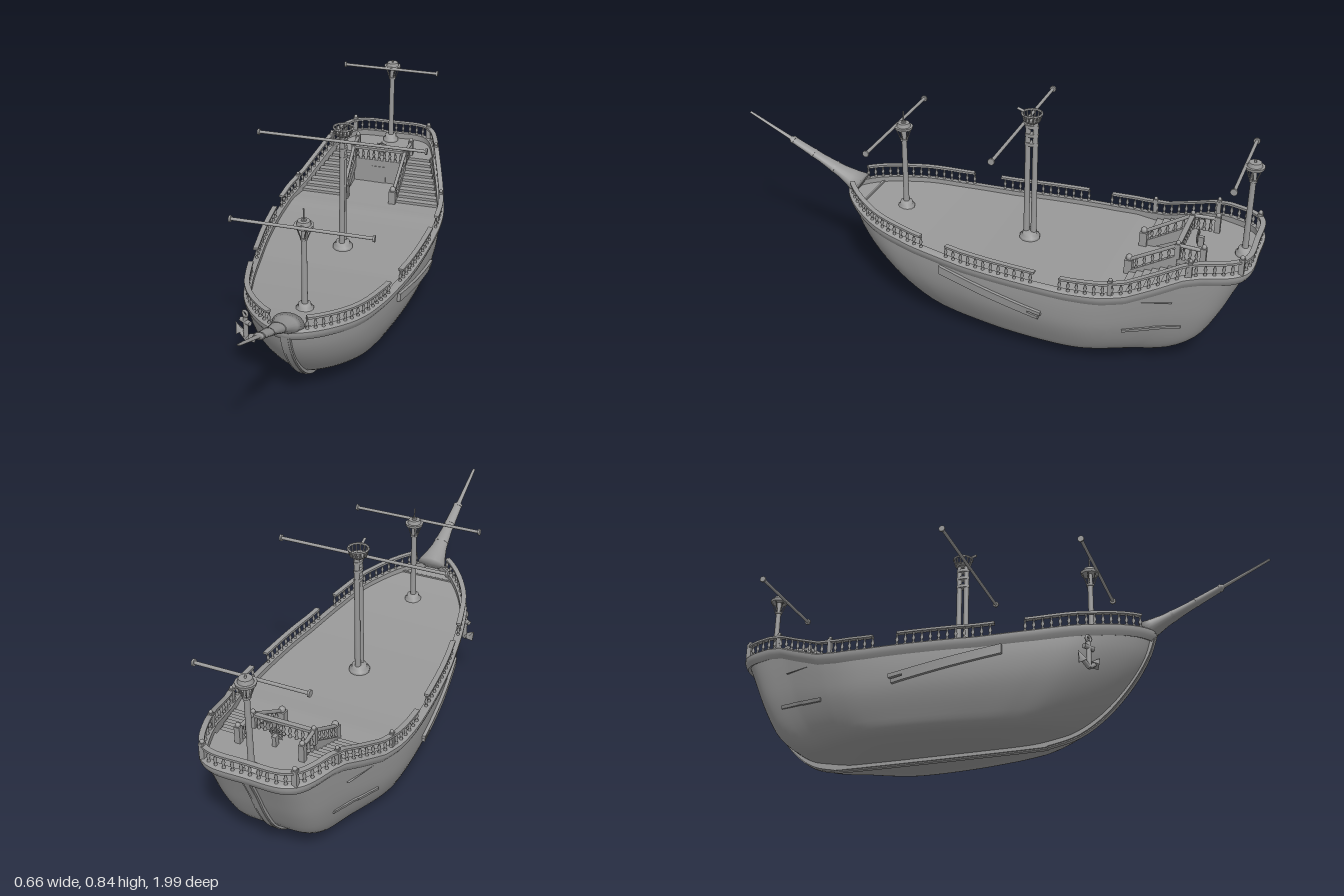
import * as THREE from 'three';
import { toCreasedNormals } from 'three/addons/utils/BufferGeometryUtils.js';

const V = (x, y, z) => new THREE.Vector3(x, y, z);
const material = new THREE.MeshStandardMaterial({ color: 0x999999, side: THREE.DoubleSide });

// Plan outline of the rim (half, bow to stern) and its height along z
const half = [[0, .57], [.06, .545], [.135, .475], [.208, .36], [.248, .23], [.277, .08], [.307, -.13], [.321, -.4],
  [.31, -.53], [.24, -.77], [.178, -.94], [.13, -.975], [0, -.98]];
const N = 240, ZB = .57, ZS = -.98, BOTTOM = .015;
const loop = [...half, ...half.slice(1, -1).reverse().map(([x, z]) => [-x, z])];
const outline = new THREE.CatmullRomCurve3(loop.map(([x, z]) => V(x, 0, z)), true).getSpacedPoints(N).slice(0, N);

function table(rows, key) {
  for (let i = 1; i < rows.length; i++) {
    const [a, p] = rows[i - 1], [b, q] = rows[i];
    if (key >= b) return p + (q - p) * Math.min(1, Math.max(0, (key - a) / (b - a)));
  }
  return rows[rows.length - 1][1];
}
const rimY = z => table([[.57, .395], [.4, .365], [.2, .342], [0, .328], [-.4, .326], [-.52, .332], [-.6, .345],
  [-.7, .385], [-.78, .42], [-.84, .432], [-1, .436]], z);
const rimX = z => table(outline.slice(0, N / 2 + 1).map(p => [p.z, Math.abs(p.x)]), z);

// Hull levels: height fraction, width factor, bow z, stern z
const levels = [[1, 1, .57, -.98], [.75, .99, .54, -.935], [.5, .95, .478, -.89], [.25, .85, .385, -.83],
  [.09, .745, .285, -.74], [.035, .53, .2, -.65], [0, 0, .12, -.56]];
const heightCurve = new THREE.CatmullRomCurve3(levels.map(l => V(l[0], 0, 0)), false, 'catmullrom');
const shapeCurve = new THREE.CatmullRomCurve3(levels.map(l => V(l[1], l[2], l[3])), false, 'catmullrom');
function hullPoint(p, t) {
  const h = Math.max(0, heightCurve.getPoint(t).x), s = shapeCurve.getPoint(t);
  return V(p.x * s.x, BOTTOM + h * (rimY(p.z) - BOTTOM), s.z + (p.z - ZS) / (ZB - ZS) * (s.y - s.z));
}
function hullX(z, y) {
  const h = (y - BOTTOM) / (rimY(z) - BOTTOM);
  let t = 0;
  while (t < 1 && heightCurve.getPoint(t).x > h) t += .01;
  const s = shapeCurve.getPoint(Math.min(t, 1));
  return s.x * rimX(ZS + (z - s.z) / (s.y - s.z) * (ZB - ZS));
}

// Skin over rows of points; optional joined rows, joined columns and end caps
function loft(rows, { ring = false, tube = false } = {}) {
  const R = rows.length, C = rows[0].length, index = [];
  for (let i = 0; i < (ring ? R : R - 1); i++) for (let j = 0; j < (tube ? C : C - 1); j++) {
    const n = (i + 1) % R, k = (j + 1) % C;
    const a = i * C + j, b = i * C + k, c = n * C + j, d = n * C + k;
    index.push(a, b, c, b, d, c);
  }
  if (tube && !ring) for (let j = 1; j < C - 1; j++) {
    const e = (R - 1) * C;
    index.push(0, j + 1, j, e, e + j, e + j + 1);
  }
  const g = new THREE.BufferGeometry().setFromPoints(rows.flat());
  g.setIndex(index);
  g.computeVertexNormals();
  return g;
}
const rect = (o0, o1, y0, y1) => [[o1, y1], [o1, y0], [o0, y0], [o0, y1]];
function rimPoint(i, out, up) {
  const p = outline[i % N], d = outline[(i + 1) % N].clone().sub(outline[(i + N - 1) % N]).normalize();
  return V(p.x - d.z * out, rimY(p.z) + up, p.z + d.x * out);
}
function rimSweep(from, to, section) {
  const rows = [], ring = to - from >= N;
  for (let i = from; i <= (ring ? to - 1 : to); i++) rows.push(section.map(([o, u]) => rimPoint(i, o, u)));
  return toCreasedNormals(loft(rows, { ring, tube: true }), .8);
}

export function createModel() {
  const model = new THREE.Group();
  const add = (name, geometry, x = 0, y = 0, z = 0, parent = model) => {
    const m = new THREE.Mesh(geometry, material);
    m.name = name;
    m.position.set(x, y, z);
    parent.add(m);
    return m;
  };
  const group = (name, x = 0, y = 0, z = 0) => {
    const g = new THREE.Group();
    g.name = name;
    g.position.set(x, y, z);
    model.add(g);
    return g;
  };
  const box = (name, w, h, d, x, y, z, parent) => add(name, new THREE.BoxGeometry(w, h, d), x, y, z, parent);
  const cyl = (name, r1, r2, h, x, y, z, parent, n = 12) => add(name, new THREE.CylinderGeometry(r1, r2, h, n), x, y, z, parent);
  const bar = (name, a, b, r, parent, n = 8) => {
    const m = cyl(name, r, r, a.distanceTo(b), 0, 0, 0, parent, n);
    m.position.copy(a).add(b).multiplyScalar(.5);
    m.quaternion.setFromUnitVectors(V(0, 1, 0), b.clone().sub(a).normalize());
    return m;
  };

  // Hull, rim moulding and keel with a raised centre strip
  const ts = Array.from({ length: 25 }, (_, i) => i / 24);
  add('hull', loft(outline.map(p => ts.map(t => hullPoint(p, t))), { ring: true }));
  add('wale', rimSweep(0, N, [[.004, .006], [.011, 0], [.011, -.01], [.007, -.022], [-.002, -.036], [-.016, -.03], [-.016, .006]]));
  const keelLine = [[.58, .39], [.55, .305], [.487, .205], [.394, .105], [.292, .038], [.18, .01], [.1, .004],
    [-.55, .004], [-.66, .01], [-.749, .04], [-.839, .12], [-.899, .22], [-.944, .33], [-.986, .42], [-.95, .4], [-.6, .2], [.3, .2], [.54, .37]];
  const keelShape = new THREE.Shape(new THREE.SplineCurve(keelLine.slice(0, 14).map(([z, y]) => new THREE.Vector2(-z, y))).getPoints(52)
    .concat(keelLine.slice(14).map(([z, y]) => new THREE.Vector2(-z, y))));
  for (const [width, drop] of [[.034, 0], [.02, .004]]) {
    const g = new THREE.ExtrudeGeometry(keelShape, { depth: width, bevelEnabled: false });
    g.translate(0, -drop, -width / 2).rotateY(Math.PI / 2);
    add('keel', toCreasedNormals(g, .5));
  }

  // Main deck and raised quarterdeck
  const deck = (name, z0, z1, yAt) => add(name, loft(Array.from({ length: 41 }, (_, i) => {
    const z = z0 + (z1 - z0) * i / 40, x = Math.max(0, rimX(z) - .006);
    return [V(-x, yAt(z), z), V(x, yAt(z), z)];
  })));
  const QY = .418;
  deck('mainDeck', .555, -.75, z => z > -.5 ? rimY(z) - .012 : .316);
  deck('quarterDeck', -.81, -.975, () => QY);
  box('cabin', .22, QY - .3, .1, 0, (QY + .3) / 2, -.775);
  box('cabinDoor', .06, .075, .008, 0, .352, -.727);
  box('deckBeam', .23, .006, .008, 0, rimY(.49) - .01, .49);

  // Baluster rails along the rim
  const balusterShape = new THREE.LatheGeometry([[.006, 0], [.006, .006], [.003, .012], [.0065, .022], [.003, .036], [.005, .046]]
    .map(([r, y]) => new THREE.Vector2(r, y)), 7);
  const indexAt = z => outline.findIndex(p => p.z <= z);
  const rails = group('rimRails');
  const newel = (x, y, z, h, w, parent) => {
    box('newel', w, h, w, x, y + h / 2, z, parent);
    add('newelKnob', new THREE.SphereGeometry(w * .45, 10, 8), x, y + h + w * .25, z, parent);
  };
  const rail = (from, to) => {
    add('handrail', rimSweep(from, to, rect(-.012, .007, .047, .055)), 0, 0, 0, rails);
    for (let i = from; i <= to; i += 2) {
      const p = rimPoint(i, -.003, .003);
      add('baluster', balusterShape, p.x, p.y, p.z, rails);
    }
  };
  for (const [z0, z1] of [[.54, .18], [.07, -.27]]) {
    const a = indexAt(z0), b = indexAt(z1);
    rail(a, b);
    rail(N - b, N - a);
  }
  rail(indexAt(-.37), N - indexAt(-.37));
  for (const s of [-1, 1]) {
    for (const z of [-.55, -.8]) newel(s * (rimX(z) - .004), rimY(z), z, .062, .015, rails);
    newel(s * .162, rimY(-.958), -.958, .062, .018, rails);
  }

  // Stairs on both sides with sloping rails
  for (const s of [-1, 1]) {
    const stairs = group(s > 0 ? 'leftStairs' : 'rightStairs');
    for (let i = 0; i < 9; i++) {
      const d = .25 / 9, z = -.565 - d * (i + .5), top = .316 + (QY - .316) * (i + 1) / 9;
      const outer = Math.min(hullX(z - d / 2, top), hullX(z - d / 2, .31)) - .006;
      box('step', outer - .105, top - .3, d, s * (outer + .105) / 2, (top + .3) / 2, z, stairs);
    }
    newel(s * .1, .31, -.56, .06, .028, stairs);
    newel(s * .11, QY, -.73, .058, .018, stairs);
    newel(s * .115, QY, -.82, .062, .02, stairs);
    const stringer = [[-.57, .3, .335], [-.73, .38, .43]].map(([z, lo, hi]) =>
      rect(-.008, .008, lo, hi).map(([o, y]) => V(s * .107 + o, y, z)));
    add('stairStringer', toCreasedNormals(loft(stringer, { tube: true }), .5), 0, 0, 0, stairs);
    bar('stairRail', V(s * .103, .37, -.56), V(s * .11, .47, -.73), .007, stairs);
    bar('landingRail', V(s * .11, .47, -.73), V(s * .115, .47, -.82), .007, stairs);
    for (let i = 1; i < 6; i++) add('baluster', balusterShape, s * .107, .325 + i * .0165, -.56 - i * .028, stairs);
    for (let i = 1; i < 4; i++) add('baluster', balusterShape, s * .112, QY, -.73 - i * .022, stairs);
  }
  const front = group('quarterDeckRail');
  box('handrail', .22, .01, .018, 0, .468, -.73, front);
  for (let i = -4; i <= 4; i++) add('baluster', balusterShape, i * .023, QY, -.73, front);

  // Steering wheel
  const wheel = group('steeringWheel', 0, .455, -.775);
  add('wheelRim', new THREE.TorusGeometry(.02, .003, 6, 18), 0, 0, 0, wheel);
  for (let i = 0; i < 4; i++) bar('spoke', V(0, -.028, 0), V(0, .028, 0), .002, wheel, 6).rotation.z = i * Math.PI / 4;
  box('wheelStand', .014, .04, .02, 0, -.02, -.012, wheel);

  // Masts, each with collar, one or more poles and a yard
  const mast = (name, z, base, top, poles, collar, yard) => {
    const g = group(name, 0, 0, z);
    for (const p of poles) cyl('pole', .0095, .011, top - base, 0, (top + base) / 2, p, g, 16);
    add('collar', new THREE.LatheGeometry([[collar, 0], [collar, .01], [collar * .75, .014], [collar * .7, .028], [0, .03]]
      .map(([a, b]) => new THREE.Vector2(a, b)), 12), 0, base, 0, g);
    const dz = yard.z - z;
    bar('yard', V(-yard.x, yard.y, dz), V(yard.x, yard.y, dz), .006, g, 10);
    for (const s of [-1, 1]) bar('yardEnd', V(s * (yard.x - .007), yard.y, dz), V(s * yard.x, yard.y, dz), .012, g, 10);
    bar('yardBracket', V(0, yard.y, 0), V(0, yard.y, dz), .008, g);
    return g;
  };
  const topPlatform = (g, y) => {
    cyl('platform', .035, .033, .01, 0, y, 0, g, 12);
    cyl('platformCap', .022, .026, .014, 0, y + .012, 0, g, 12);
    cyl('strutRing', .014, .014, .008, 0, y - .05, 0, g, 12);
    for (let i = 0; i < 6; i++) {
      const c = Math.cos(i * Math.PI / 3), s = Math.sin(i * Math.PI / 3);
      bar('strut', V(c * .012, y - .05, s * .012), V(c * .029, y - .004, s * .029), .002, g, 5);
    }
  };
  const fore = mast('foreMast', .345, .34, .70, [0], .032, V(.255, .68, .375));
  topPlatform(fore, .676);
  bar('spike', V(0, .69, 0), V(0, .74, 0), .003, fore);
  const mizzen = mast('mizzenMast', -.94, QY, .77, [0], .032, V(.2, .757, -.91));
  topPlatform(mizzen, .757);
  bar('spike', V(0, .77, 0), V(0, .785, 0), .004, mizzen);
  const main = mast('mainMast', -.155, .315, .8, [-.014, .014], .038, V(.32, .775, -.125));
  for (const y of [.7, .735, .768]) cyl('band', .026, .026, .012, 0, y, 0, main, 16).scale.x = .55;
  cyl('nestFloor', .03, .022, .01, 0, .79, 0, main, 16);
  for (let i = 0; i < 14; i++) {
    const c = Math.cos(i * Math.PI / 7), s = Math.sin(i * Math.PI / 7);
    bar('nestPost', V(c * .028, .79, s * .028), V(c * .036, .822, s * .036), .003, main, 5);
  }
  add('nestRail', new THREE.TorusGeometry(.036, .004, 6, 20).rotateX(Math.PI / 2), 0, .818, 0, main);
  bar('nestArm', V(0, .822, .03), V(0, .83, .055), .005, main);

  // Bowsprit flaring into the stem
  const sprit = add('bowsprit', new THREE.LatheGeometry([[0, -.02], [.058, -.018], [.045, .02], [.032, .07], [.022, .16], [.017, .3], [.013, .305], [.009, .31], [.006, .497], [0, .498]]
    .map(([r, y]) => new THREE.Vector2(r, y)), 18), 0, .411, .552);
  sprit.scale.z = .65;
  sprit.rotation.x = Math.atan2(.45, .215);
  for (const [y, r] of [[.1, .03], [.2, .022], [.295, .019]]) cyl('spritBand', r, r, .01, 0, y, 0, sprit, 16);

  // Anchor hung on the right bow
  const anchor = group('anchor', -.21, .195, .38);
  anchor.rotation.y = -.5;
  bar('shank', V(0, .005, 0), V(0, .1, 0), .009, anchor);
  bar('stock', V(-.024, .08, 0), V(.024, .08, 0), .009, anchor);
  add('ring', new THREE.TorusGeometry(.011, .005, 6, 14), 0, .113, 0, anchor);
  for (const s of [-1, 1]) {
    bar('arm', V(0, .006, 0), V(s * .04, .032, 0), .008, anchor);
    add('fluke', new THREE.ConeGeometry(.02, .042, 4), s * .042, .038, 0, anchor).rotation.z = -s * .6;
  }

  // Repair planks following the hull sides
  const plank = (s, z0, y0, z1, y1, lo, hi, out) => {
    const rows = Array.from({ length: 9 }, (_, i) => {
      const z = z0 + (z1 - z0) * i / 8, y = y0 + (y1 - y0) * i / 8;
      return rect(-.008, out, lo, hi).map(([o, u]) => V(s * (hullX(z, y + u) + o), y + u, z));
    });
    if (s < 0) rows.reverse();
    add('hullPlank', toCreasedNormals(loft(rows, { tube: true }), .5));
  };
  for (const s of [-1, 1]) {
    plank(s, .09, .281, -.26, .213, -.017, .017, .012);
    plank(s, -.26, .213, -.31, .204, .003, .017, .012);
    plank(s, -.26, .213, -.3, .205, -.017, -.003, .012);
    plank(s, -.59, .182, -.68, .192, -.006, .006, .005);
    plank(s, -.68, .192, -.78, .2, -.004, .008, .004);
  }
  return model;
}
